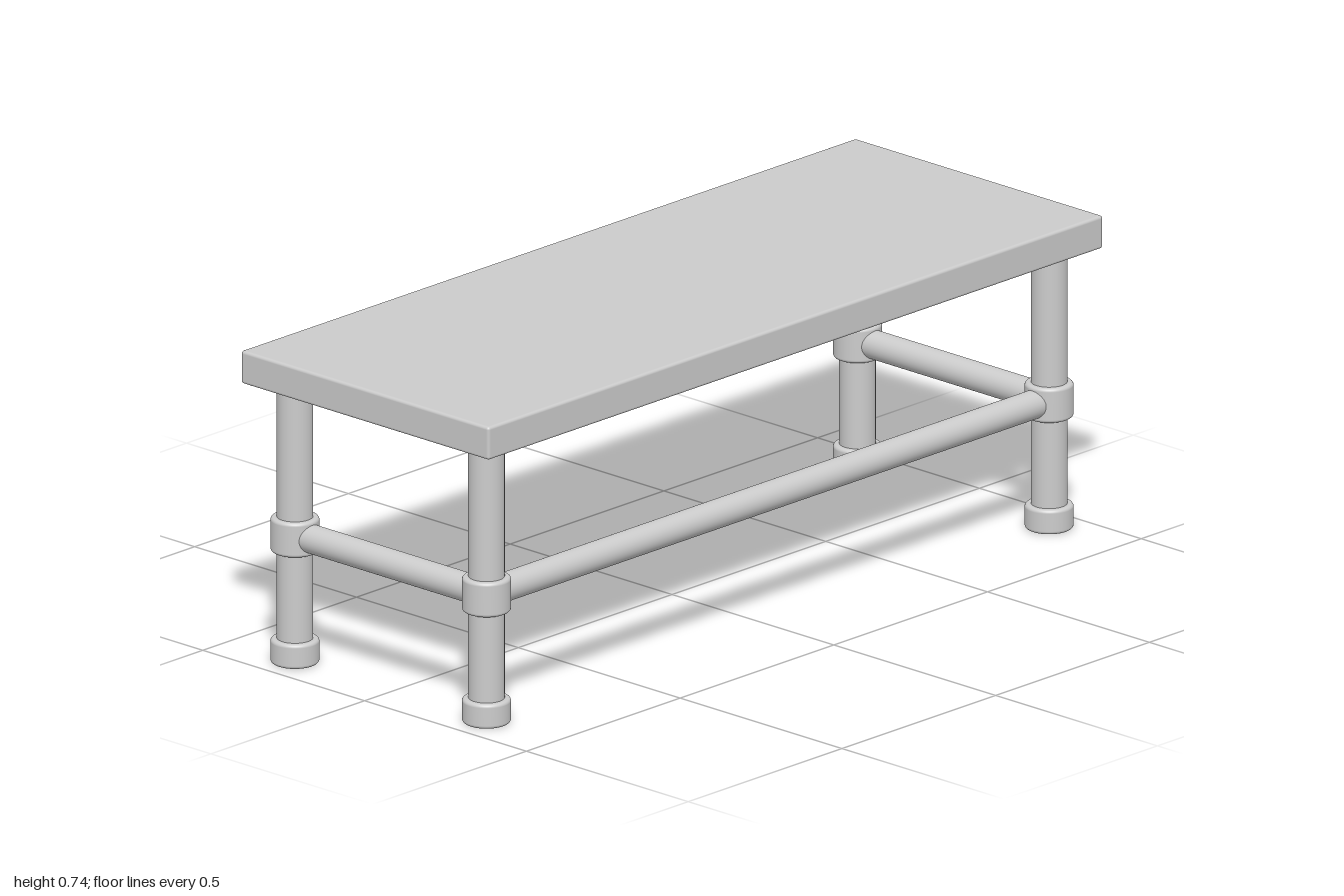
import * as THREE from 'three';
import { RoundedBoxGeometry } from 'three/addons/geometries/RoundedBoxGeometry.js';

const LEG_X = 0.915, LEG_Z = 0.296, RAIL_Y = 0.304;

export function createModel() {
  const model = new THREE.Group();
  model.name = 'bench';
  const material = new THREE.MeshStandardMaterial({ color: 0xcccccc });

  function add(name, geometry, x, y, z, parent = model) {
    const mesh = new THREE.Mesh(geometry, material);
    mesh.name = name;
    mesh.position.set(x, y, z);
    parent.add(mesh);
    return mesh;
  }

  // Solid sleeve standing on y = 0 with softly rounded rims
  function sleeve(radius, height, r) {
    const profile = new THREE.Path();
    profile.moveTo(0, 0);
    profile.lineTo(radius - r, 0);
    profile.absarc(radius - r, r, r, -Math.PI / 2, 0, false);
    profile.absarc(radius - r, height - r, r, 0, Math.PI / 2, false);
    profile.lineTo(0, height);
    // Doubling the flat cap ends keeps the caps flat-shaded
    const points = profile.getPoints(5);
    points.splice(1, 0, new THREE.Vector2(radius - r - 0.0005, 0));
    points.splice(points.length - 1, 0, new THREE.Vector2(radius - r - 0.0005, height));
    return new THREE.LatheGeometry(points, 48);
  }

  // Seat slab with slightly eased edges
  add('seat', new RoundedBoxGeometry(2, 0.078, 0.766, 3, 0.007), 0, 0.7, 0);

  // Four pipe legs, each with a foot cap and a joint collar
  const pipe = new THREE.CylinderGeometry(0.041, 0.041, 0.64, 48);
  const foot = sleeve(0.055, 0.058, 0.008);
  const collar = sleeve(0.055, 0.082, 0.008);
  for (const [side, sx] of [['left', 1], ['right', -1]]) {
    for (const [end, sz] of [['Front', 1], ['Back', -1]]) {
      const leg = new THREE.Group();
      leg.name = `${side}${end}Leg`;
      leg.position.set(sx * LEG_X, 0, sz * LEG_Z);
      add('legPipe', pipe, 0, 0.345, 0, leg);
      add('footCap', foot, 0, 0, 0, leg);
      add('jointCollar', collar, 0, 0.264, 0, leg);
      model.add(leg);
    }
    // Side rail joining the front and back legs
    const rail = new THREE.CylinderGeometry(0.033, 0.033, 2 * LEG_Z, 48, 1, true);
    add(`${side}Rail`, rail, sx * LEG_X, RAIL_Y, 0).rotation.x = Math.PI / 2;
  }

  // Long rail between the two front legs only
  const frontRail = new THREE.CylinderGeometry(0.033, 0.033, 2 * LEG_X, 48, 1, true);
  add('frontRail', frontRail, 0, RAIL_Y, LEG_Z).rotation.z = Math.PI / 2;

  return model;
}
